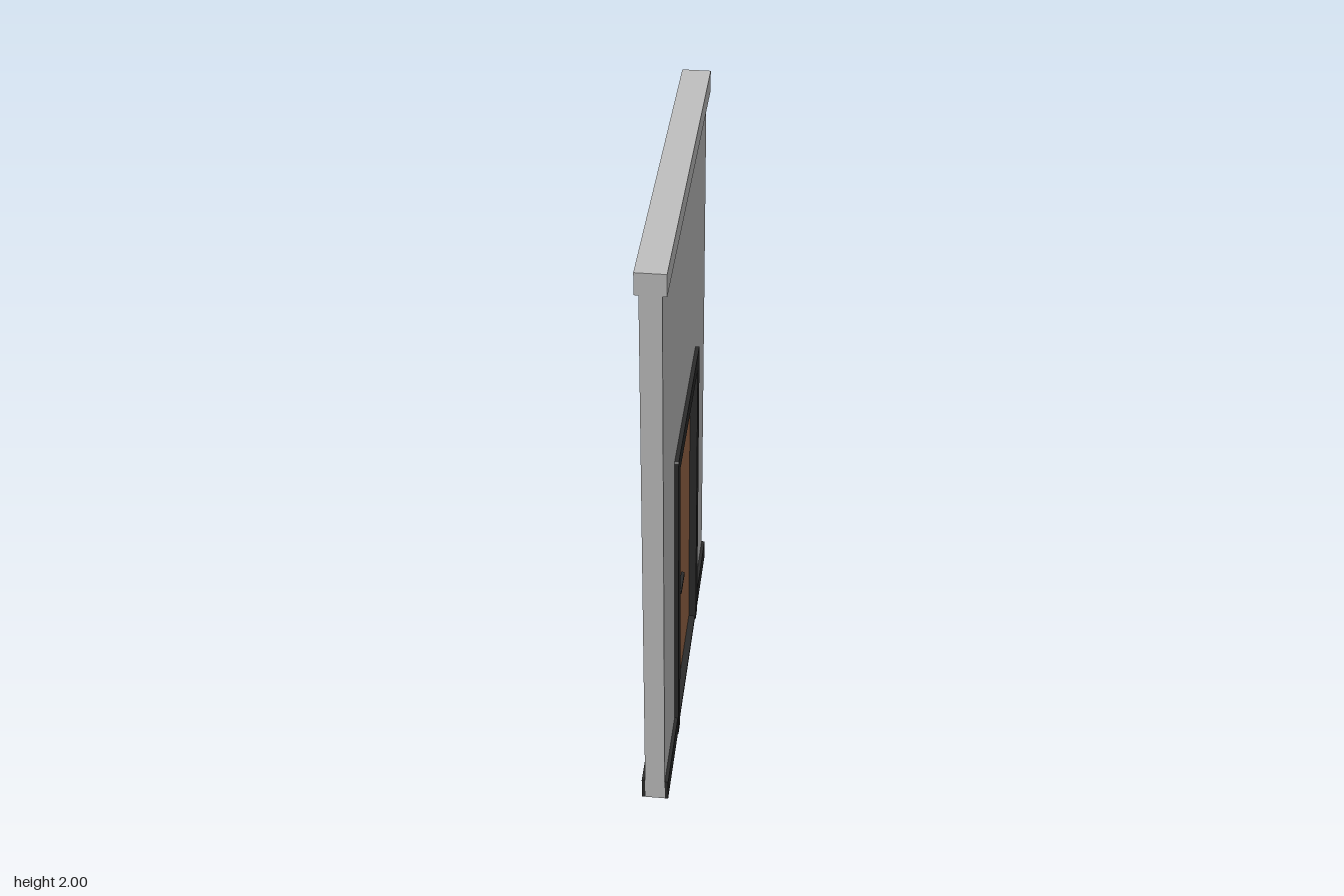
import * as THREE from 'three';

const mat = (name, color) => {
  const m = new THREE.MeshStandardMaterial({ color });
  m.name = name;
  return m;
};

export function createModel() {
  const model = new THREE.Group();
  model.name = 'wallWithDoor';
  const plaster = mat('grey plaster', 0xc0c0c0);
  const wood = mat('brown wood', 0x9e6a4a);
  const dark = mat('dark trim', 0x2b2b2b);

  const add = (name, geometry, material, parent = model) => {
    const mesh = new THREE.Mesh(geometry, material);
    mesh.name = name;
    parent.add(mesh);
    return mesh;
  };
  // Box given by its extents along each axis
  const box = (name, [x0, x1], [y0, y1], [z0, z1], material, parent) => {
    const mesh = add(name, new THREE.BoxGeometry(x1 - x0, y1 - y0, z1 - z0), material, parent);
    mesh.position.set((x0 + x1) / 2, (y0 + y1) / 2, (z0 + z1) / 2);
    return mesh;
  };
  // Outline in the plane of the wall, extruded evenly through its thickness
  const slab = (name, points, halfDepth, material) => {
    const shape = new THREE.Shape(points.map(([z, y]) => new THREE.Vector2(z, y)));
    const geometry = new THREE.ExtrudeGeometry(shape, { depth: halfDepth * 2, bevelEnabled: false });
    geometry.translate(0, 0, -halfDepth).rotateY(Math.PI / 2);
    return add(name, geometry, material);
  };

  // Wall with a door opening, and its coping
  const W = 0.613;
  slab('wall', [[-W, 0], [-0.3, 0], [-0.3, 1.12], [0.3, 1.12], [0.3, 0], [W, 0], [W, 1.93], [-W, 1.93]], 0.032, plaster);
  box('coping', [-0.045, 0.045], [1.93, 2], [-W, W], plaster);

  // Door frame lining the opening, with clipped outer corners
  const F = 0.32, I = 0.264, c = 0.006;
  slab('doorFrame', [[-F, 0], [-I, 0], [-I, 1.095], [I, 1.095], [I, 0], [F, 0],
    [F, 1.155 - c], [F - c, 1.155], [c - F, 1.155], [-F, 1.155 - c]], 0.045, dark);
  box('threshold', [-0.042, 0.042], [0, 0.014], [-I, I], dark);
  box('doorLeaf', [-0.02, 0.02], [0.014, 1.095], [-I, I], wood);

  for (const side of [1, -1]) {
    const span = (a, b) => (side > 0 ? [a, b] : [-b, -a]);

    // Skirting boards either side of the frame
    for (const end of [1, -1]) {
      box('skirting', span(0.032, 0.043), [0, 0.077], end > 0 ? [F, W] : [-W, -F], dark);
    }

    // Handle: backplate, neck, lever and keyhole cover
    const handle = new THREE.Group();
    handle.name = 'doorHandle';
    model.add(handle);
    box('handlePlate', span(0.02, 0.027), [0.482, 0.588], [0.205, 0.232], dark, handle);
    const neck = add('handleNeck', new THREE.CylinderGeometry(0.01, 0.01, 0.018, 16), dark, handle);
    neck.rotation.z = Math.PI / 2;
    neck.position.set(side * 0.034, 0.549, 0.214);
    box('handleLever', span(0.033, 0.044), [0.543, 0.556], [0.125, 0.222], dark, handle);
    const keyhole = add('keyCover', new THREE.CylinderGeometry(0.007, 0.007, 0.006, 12), dark, handle);
    keyhole.rotation.z = Math.PI / 2;
    keyhole.position.set(side * 0.028, 0.505, 0.218);
  }
  return model;
}
